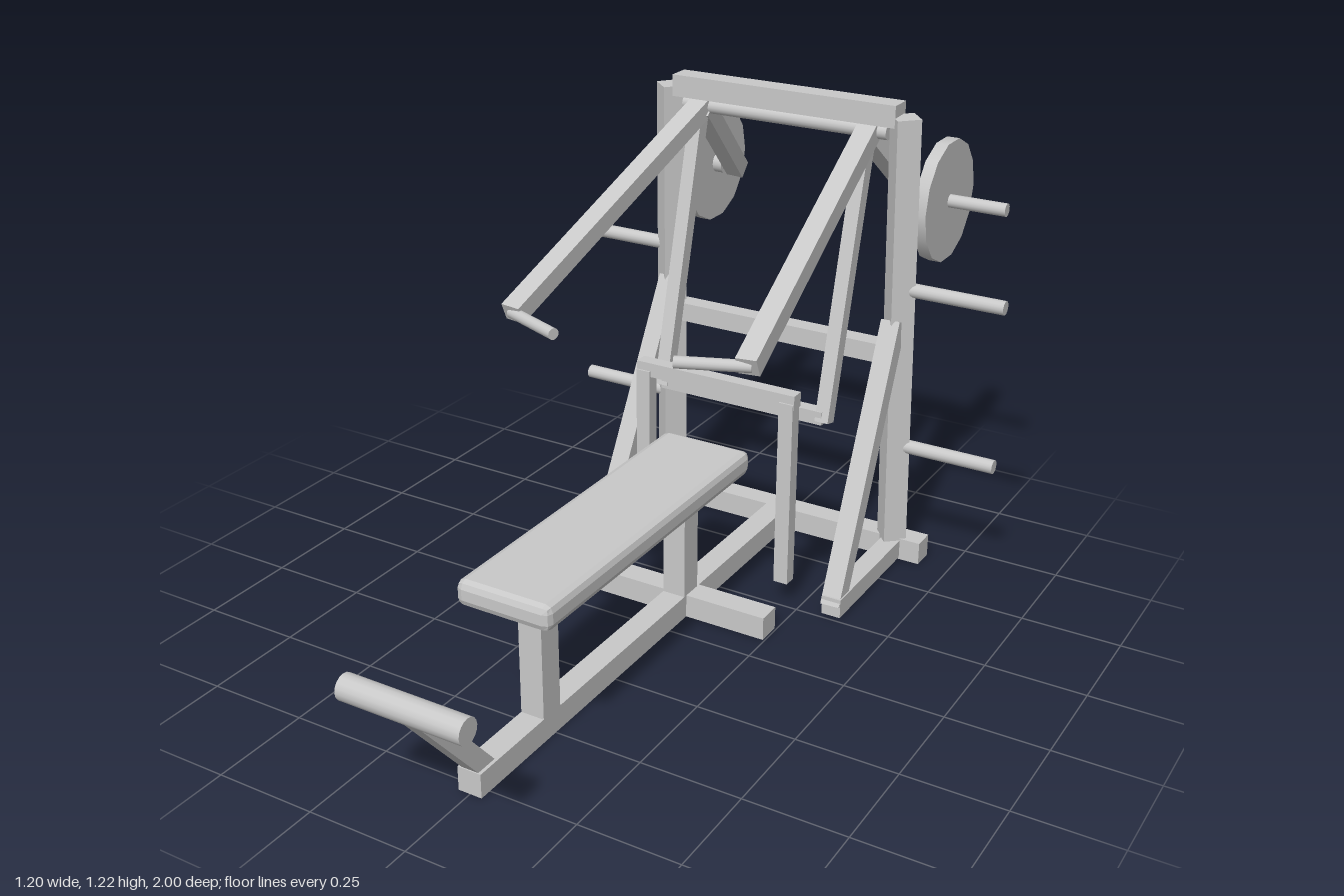
import * as THREE from 'three';
import { RoundedBoxGeometry } from 'three/addons/geometries/RoundedBoxGeometry.js';

const steel = new THREE.MeshStandardMaterial({ color: 0xc8c8c8 });
steel.name = 'grey steel';

export function createModel() {
  const model = new THREE.Group();
  model.name = 'benchPressMachine';

  const add = (name, geometry) => {
    const mesh = new THREE.Mesh(geometry, steel);
    mesh.name = name;
    model.add(mesh);
    return mesh;
  };

  // Axis-aligned bar given by its min and max corners
  const box = (name, [x0, y0, z0], [x1, y1, z1]) =>
    add(name, new THREE.BoxGeometry(x1 - x0, y1 - y0, z1 - z0))
      .position.set((x0 + x1) / 2, (y0 + y1) / 2, (z0 + z1) / 2);

  // Square tube from a to b: w across x, d in the other direction, rolled about its length
  const beam = (name, a, b, w, d, roll = 0) => {
    const p = new THREE.Vector3(...a), q = new THREE.Vector3(...b);
    const along = q.clone().sub(p), length = along.length();
    along.normalize();
    const side = new THREE.Vector3(1, 0, 0).addScaledVector(along, -along.x).normalize();
    const mesh = add(name, new THREE.BoxGeometry(w, length, d).rotateY(roll));
    mesh.quaternion.setFromRotationMatrix(
      new THREE.Matrix4().makeBasis(side, along, side.clone().cross(along)));
    mesh.position.copy(p.add(q).multiplyScalar(0.5));
  };

  // Round bar from a to b
  const rod = (name, a, b, r, sides = 16) => {
    const p = new THREE.Vector3(...a), q = new THREE.Vector3(...b);
    const along = q.clone().sub(p);
    const mesh = add(name, new THREE.CylinderGeometry(r, r, along.length(), sides));
    mesh.quaternion.setFromUnitVectors(new THREE.Vector3(0, 1, 0), along.normalize());
    mesh.position.copy(p.add(q).multiplyScalar(0.5));
  };

  // Floor frame
  box('rearBase', [-0.42, 0, -0.68], [0.42, 0.06, -0.62]);
  box('centreBase', [-0.03, 0, -0.62], [0.03, 0.06, 0.78]);
  box('crossBase', [-0.245, 0, -0.143], [0.245, 0.06, -0.08]);

  // Bench
  box('frontBenchPost', [-0.03, 0.06, 0.48], [0.03, 0.36, 0.545]);
  box('rearBenchPost', [-0.03, 0.06, -0.134], [0.03, 0.36, -0.07]);
  const padGeometry = new RoundedBoxGeometry(0.24, 0.062, 0.88, 1, 0.018);
  padGeometry.computeVertexNormals();
  add('benchPad', padGeometry).position.set(0, 0.386, 0.205);

  // Foot roller
  beam('rollerStrut', [0, 0.045, 0.735], [0, 0.32, 0.965], 0.044, 0.045);
  rod('footRoller', [-0.153, 0.325, 0.97], [0.153, 0.325, 0.97], 0.03);

  // Bars across the tower
  box('topBeam', [-0.305, 1.165, -0.635], [0.305, 1.22, -0.575]);
  rod('pivotRod', [-0.28, 1.147, -0.6], [0.28, 1.147, -0.6], 0.019);
  box('middleBeam', [-0.31, 0.555, -0.64], [0.31, 0.605, -0.59]);

  // Rack and swing frame crossbars
  box('rackBar', [-0.22, 0.535, -0.295], [0.22, 0.572, -0.26]);
  box('swingBar', [-0.23, 0.445, -0.43], [0.23, 0.48, -0.395]);

  for (const s of [-1, 1]) {
    // Tower side: leaning diamond-set upright, foot and brace
    beam('upright', [s * 0.335, 0.04, -0.635], [s * 0.322, 1.19, -0.6], 0.06, 0.06, s * 0.72);
    box('sideBase', [s * 0.34 - 0.025, 0.005, -0.63], [s * 0.34 + 0.025, 0.055, -0.26]);
    beam('brace', [s * 0.338, 0.025, -0.275], [s * 0.32, 0.67, -0.6], 0.05, 0.045);

    // Storage pegs
    rod('storagePeg', [s * 0.33, 0.755, -0.617], [s * 0.6, 0.755, -0.617], 0.018);
    rod('storagePeg', [s * 0.33, 0.325, -0.63], [s * 0.6, 0.325, -0.63], 0.018);

    // Rack post and swing arm
    box('rackPost', [s * 0.2 - 0.019, 0.06, -0.29], [s * 0.2 + 0.019, 0.55, -0.255]);
    beam('swingArm', [s * 0.23, 1.15, -0.585], [s * 0.23, 0.45, -0.41], 0.036, 0.036);

    // Press arm with handle in front and loading lever behind
    beam('pressArm', [s * 0.23, 1.145, -0.595], [s * 0.305, 0.815, 0.145], 0.05, 0.046);
    rod('handle', [s * 0.312, 0.815, 0.137], [s * 0.155, 0.815, 0.2], 0.014);
    beam('loadingLever', [s * 0.225, 1.145, -0.59], [s * 0.265, 0.91, -0.855], 0.046, 0.046);

    // Weight plate on its peg
    rod('platePeg', [s * 0.25, 0.923, -0.842], [s * 0.505, 0.923, -0.842], 0.017);
    rod('plateCollar', [s * 0.295, 0.923, -0.842], [s * 0.325, 0.923, -0.842], 0.026);
    rod('weightPlate', [s * 0.32, 0.923, -0.842], [s * 0.353, 0.923, -0.842], 0.158, 14);
  }
  return model;
}
